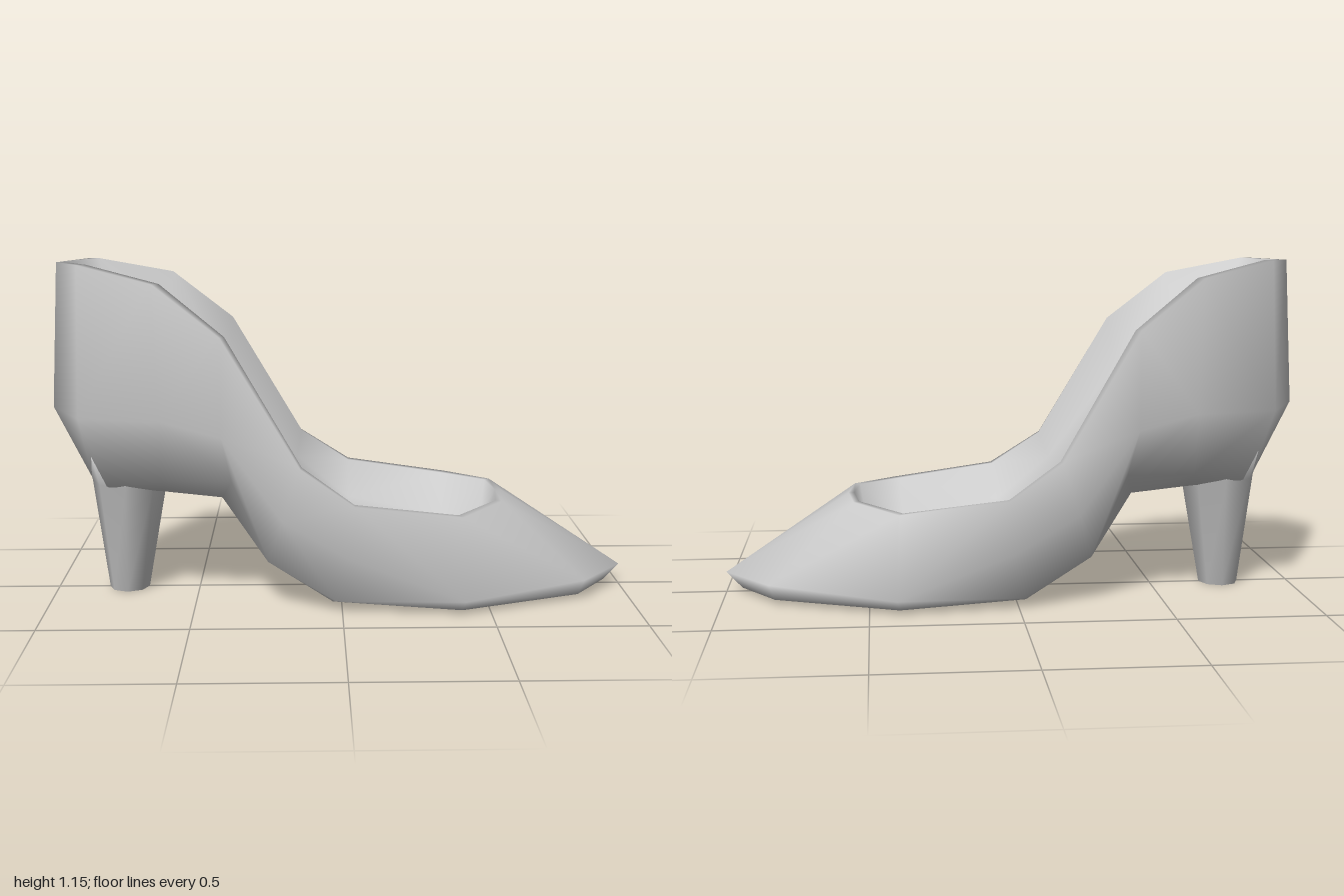
import * as THREE from 'three';
import { mergeVertices } from 'three/addons/utils/BufferGeometryUtils.js';

const material = new THREE.MeshStandardMaterial({ color: 0xcccccc });
const V = (p) => new THREE.Vector3(...p);

// Half-shoe stations from back to toe: insole centre, opening rim, side, sole edge, underside ridge
const STATIONS = [
  [[-0.79, 0.93, 0], [-0.975, 1.152, 0], [-1, 0.65, 0], [-0.87, 0.39, 0], [-0.8, 0.38, 0]],
  [[-0.75, 0.91, 0], [-0.88, 1.155, 0.18], [-0.88, 0.65, 0.25], [-0.8, 0.39, 0.13], [-0.75, 0.38, 0.07]],
  [[-0.62, 0.85, 0], [-0.62, 1.1, 0.3], [-0.6, 0.65, 0.325], [-0.61, 0.43, 0.22], [-0.61, 0.365, 0.09]],
  [[-0.4, 0.7, 0], [-0.4, 0.93, 0.34], [-0.4, 0.6, 0.345], [-0.37, 0.44, 0.28], [-0.41, 0.35, 0.12]],
  [[-0.17, 0.41, 0], [-0.14, 0.5, 0.37], [-0.2, 0.32, 0.36], [-0.25, 0.16, 0.27], [-0.26, 0.13, 0.13]],
  [[0.03, 0.24, 0], [0.04, 0.38, 0.405], [0.02, 0.2, 0.39], [-0.02, 0.035, 0.32], [-0.03, 0.01, 0.24]],
  [[0.37, 0.17, 0], [0.4, 0.335, 0.37], [0.41, 0.05, 0.39], [0.4, 0.015, 0.365], [0.39, 0.01, 0.3]],
  [[0.49, 0.2, 0], [0.55, 0.345, 0.18], [0.84, 0.07, 0.21], [0.82, 0.015, 0.19], [0.78, 0.01, 0.16]],
  [[0.51, 0.22, 0], [0.57, 0.345, 0], [1, 0.07, 0], [0.945, 0.012, 0], [0.9, 0.01, 0]],
];

// Cross-section of a station: insole centre, up the bowl, over the rim, down to the sole centre
function section(station) {
  const [floor, rim, side, edge, ridge] = station.map(V);
  const lip = rim.clone().multiply(V([0.965, 1, 0.91]));
  const bowl = lip.clone().lerp(floor, 0.5);
  bowl.y = THREE.MathUtils.lerp(lip.y, floor.y, 0.72);
  return [floor, bowl, lip, rim, side, edge, ridge, V([ridge.x, ridge.y, 0])];
}

// Skin a grid of sections and its mirror image across z = 0 with one smooth surface
function mirroredSkin(sections) {
  const positions = [];
  const cross = (a, b, c) => b.clone().sub(a).cross(c.clone().sub(a));
  const add = (a, b, c) => {
    const onMirrorPlane = [a, b, c].every((p) => p.z === 0);
    if (onMirrorPlane || cross(a, b, c).length() < 1e-7) return;
    for (const p of [a, b, c]) positions.push(p.x, p.y, p.z);
    for (const p of [a, c, b]) positions.push(p.x, p.y, p.z ? -p.z : 0);
  };
  for (let j = 0; j < sections.length - 1; j++) {
    for (let i = 0; i < sections[j].length - 1; i++) {
      const a = sections[j][i], b = sections[j + 1][i];
      const c = sections[j][i + 1], d = sections[j + 1][i + 1];
      // Split each quad along the diagonal that bulges outwards
      if (cross(a, c, b).dot(d.clone().sub(a)) > 0) {
        add(a, c, d);
        add(a, d, b);
      } else {
        add(a, c, b);
        add(b, c, d);
      }
    }
  }
  const geometry = new THREE.BufferGeometry();
  geometry.setAttribute('position', new THREE.Float32BufferAttribute(positions, 3));
  return smooth(geometry);
}

// Weld coincident corners and share their normals
function smooth(geometry) {
  const welded = mergeVertices(geometry, 1e-4);
  welded.computeVertexNormals();
  return welded;
}

// Tapered eight-sided heel, flared where it runs up into the seat
function heelGeometry() {
  const geometry = new THREE.CylinderGeometry(1, 1, 1, 8, 2);
  const levels = [
    { y: 0, back: -0.82, front: -0.68, half: 0.075 },
    { y: 0.39, back: -0.872, front: -0.61, half: 0.145 },
    { y: 0.52, back: -0.91, front: -0.56, half: 0.21 },
  ];
  const p = geometry.attributes.position;
  for (let i = 0; i < p.count; i++) {
    const l = levels[Math.round((p.getY(i) + 0.5) * 2)];
    p.setXYZ(i, (l.back + l.front) / 2 + p.getX(i) * (l.front - l.back) / 2, l.y, p.getZ(i) * l.half);
  }
  geometry.deleteAttribute('uv');
  geometry.deleteAttribute('normal');
  return smooth(geometry);
}

export function createModel() {
  const group = new THREE.Group();
  group.name = 'highHeeledShoe';
  const parts = {
    shoeBody: mirroredSkin(STATIONS.map(section)),
    heel: heelGeometry(),
  };
  for (const [name, geometry] of Object.entries(parts)) {
    const mesh = new THREE.Mesh(geometry, material);
    mesh.name = name;
    group.add(mesh);
  }
  return group;
}
